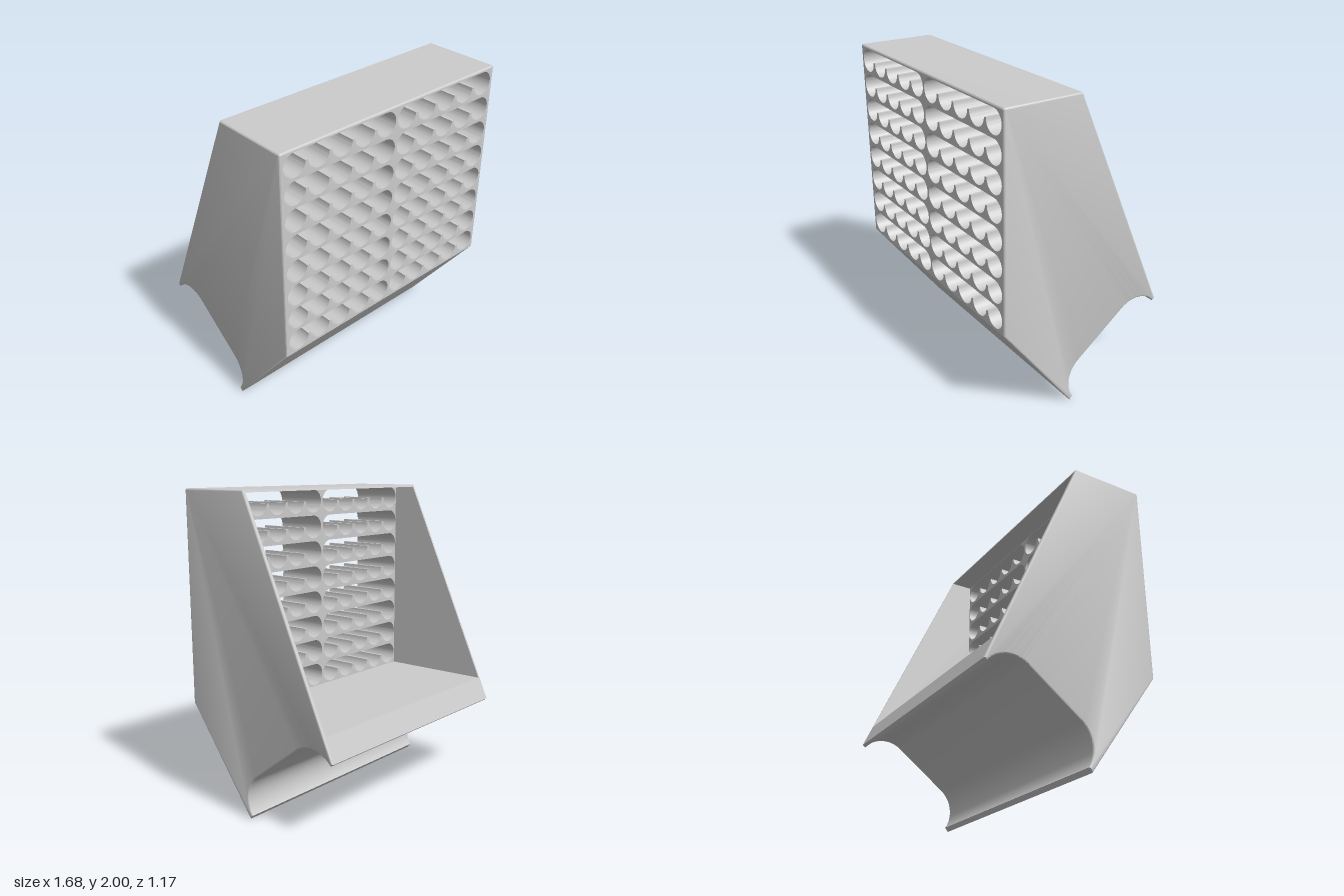
import * as THREE from 'three';
import { toCreasedNormals } from 'three/addons/utils/BufferGeometryUtils.js';

const HALF = 0.84, INNER = 0.82, FRONT = 0.587, BEVEL = 0.01;
const FLOOR = 0.663, CEILING = 1.985, PLATE_BACK = 0.23;
const grey = new THREE.MeshStandardMaterial({ color: 0xcccccc });
// depth of the sloping back at a given height
const backZ = (y) => 0.085 - (2 - y) * 0.4497;

// Side outlines are drawn with shape x = -z, then swept along x.
function underside(s) {
  const a = Math.PI / 180;
  s.lineTo(-FRONT, 0.656);
  s.lineTo(-0.093, 0);
  s.lineTo(-0.07, 0.027);
  s.absarc(0.085, 0.135, 0.19, 214 * a, 127.3 * a, true);
  s.absarc(0.415, 0.385, 0.19, 127.3 * a, 39.4 * a, true);
  s.lineTo(-backZ(0.52), 0.52);
}

function topOutline(s) {
  s.lineTo(-backZ(2), 2);
  s.lineTo(-FRONT + 0.012, 2);
  s.quadraticCurveTo(-FRONT, 2, -FRONT, 1.988);
}

function addMesh(group, name, geometry) {
  const mesh = new THREE.Mesh(toCreasedNormals(geometry, 0.6), grey);
  mesh.name = name;
  group.add(mesh);
}

const sweep = (shape) => new THREE.ExtrudeGeometry(shape, {
  depth: INNER * 2, bevelEnabled: false, curveSegments: 20,
}).translate(0, 0, -INNER).rotateY(Math.PI / 2);

// Side wall rounded on its outer rim only: the inner bevel is flattened.
function sideWall(side) {
  const s = new THREE.Shape();
  s.moveTo(-backZ(2), 2);
  topOutline(s);
  underside(s);
  s.closePath();
  const depth = HALF - INNER - BEVEL;
  const geo = new THREE.ExtrudeGeometry(s, {
    depth, bevelThickness: BEVEL, bevelSize: BEVEL, bevelOffset: -BEVEL,
    bevelSegments: 3, curveSegments: 20,
  });
  const p = geo.attributes.position;
  for (let i = 0; i < p.count; i++) {
    const z = p.getZ(i);
    p.setZ(i, side > 0 ? Math.max(z, 0) : Math.min(z, depth));
  }
  geo.translate(0, 0, side > 0 ? INNER : -INNER - depth);
  return geo.rotateY(Math.PI / 2);
}

// Slot with a straight top and five scalloped cradles along its bottom.
function slot(x0, cy) {
  const r = 0.0735, pitch = 0.1655, n = 5, h = new THREE.Path();
  const last = x0 + (n - 1) * pitch;
  h.moveTo(x0 - r, cy);
  for (let i = 0; i < n; i++) h.absarc(x0 + i * pitch, cy, r, Math.PI, Math.PI * 2, false);
  h.absarc(last, cy, r, 0, Math.PI / 2, false);
  h.absarc(x0, cy, r, Math.PI / 2, Math.PI, false);
  return h;
}

function frontPlate() {
  const s = new THREE.Shape();
  s.moveTo(-INNER, FLOOR);
  s.lineTo(INNER, FLOOR);
  s.lineTo(INNER, CEILING);
  s.lineTo(-INNER, CEILING);
  s.closePath();
  for (let row = 0; row < 8; row++) {
    for (const x0 of [-0.7435, 0.0815]) s.holes.push(slot(x0, 1.908 - row * 0.1664));
  }
  return new THREE.ExtrudeGeometry(s, {
    depth: FRONT - PLATE_BACK, bevelEnabled: false, curveSegments: 12,
  }).translate(0, 0, PLATE_BACK);
}

export function createModel() {
  const model = new THREE.Group();
  model.name = 'slottedHolder';

  // solid base under the floor, with the concave underside
  const base = new THREE.Shape();
  base.moveTo(-backZ(FLOOR), FLOOR);
  base.lineTo(-FRONT, FLOOR);
  underside(base);
  base.closePath();
  addMesh(model, 'base', sweep(base));

  // thin roof
  const roof = new THREE.Shape();
  roof.moveTo(-FRONT, CEILING);
  roof.lineTo(-backZ(CEILING), CEILING);
  topOutline(roof);
  roof.closePath();
  addMesh(model, 'roof', sweep(roof));

  // thick front with two columns of slots
  addMesh(model, 'slottedFront', frontPlate());

  addMesh(model, 'leftWall', sideWall(1));
  addMesh(model, 'rightWall', sideWall(-1));
  return model;
}
